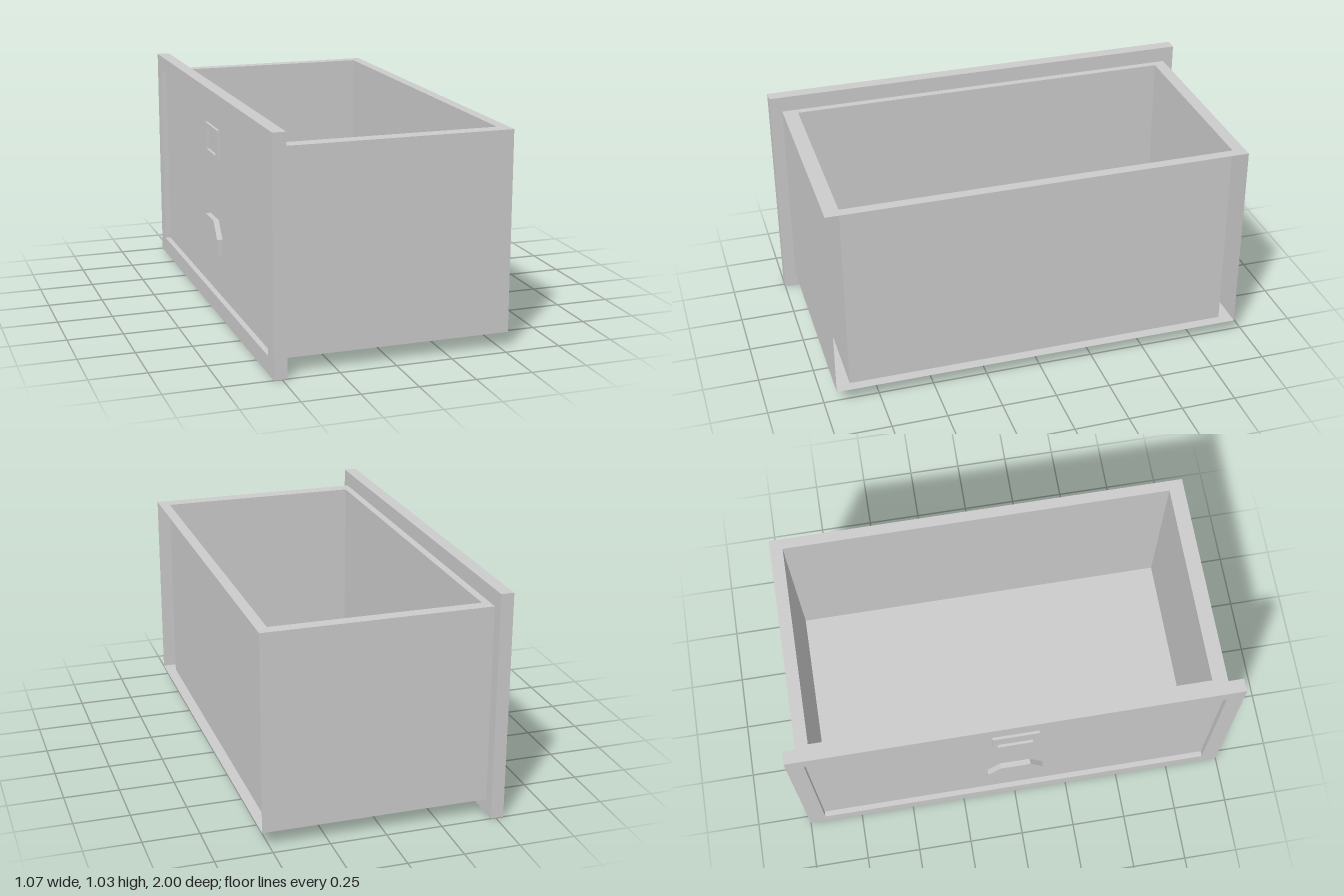
import * as THREE from 'three';

const material = new THREE.MeshStandardMaterial({ color: 0xcccccc, side: THREE.DoubleSide, flatShading: true });

// Rectangle path in a shape's own plane
function rect(Path, u0, v0, u1, v1) {
  return new Path([[u0, v0], [u1, v0], [u1, v1], [u0, v1]].map(([u, v]) => new THREE.Vector2(u, v)));
}

function add(parent, name, geometry) {
  const mesh = new THREE.Mesh(geometry, material);
  mesh.name = name;
  parent.add(mesh);
  return mesh;
}

// Thin sheet between two corners that share one coordinate
function sheet(parent, name, a, b) {
  const [x0, y0, z0] = a, [x1, y1, z1] = b;
  const g = new THREE.PlaneGeometry(1, 1);
  if (x0 === x1) g.rotateY(Math.PI / 2).scale(1, y1 - y0, z1 - z0);
  else if (y0 === y1) g.rotateX(-Math.PI / 2).scale(x1 - x0, 1, z1 - z0);
  else g.scale(x1 - x0, y1 - y0, 1);
  g.translate((x0 + x1) / 2, (y0 + y1) / 2, (z0 + z1) / 2);
  return add(parent, name, g);
}

// Outline drawn in (z, y), thickened along x from x0 to x1
function slab(parent, name, shape, x0, x1) {
  const g = new THREE.ExtrudeGeometry(shape, { depth: x1 - x0, bevelEnabled: false });
  g.rotateY(-Math.PI / 2).translate(x1, 0, 0);
  return add(parent, name, g);
}

export function createModel() {
  const model = new THREE.Group();
  model.name = 'drawer';

  // Drawer box: outer sheets, flat rim and inner walls, open at the back end
  const box = new THREE.Group();
  box.name = 'drawerBox';
  model.add(box);
  const bottom = 0.07, top = 0.96;
  const outer = { x0: -0.474, x1: 0.533, z0: -0.95, z1: 0.945 };
  const inner = { x0: -0.44, x1: 0.485, z0: -0.893, z1: 0.877 };
  for (const [name, z] of [['rightSide', outer.z0], ['leftSide', outer.z1]])
    sheet(box, name, [outer.x0, bottom, z], [outer.x1, top, z]);
  sheet(box, 'bottom', [outer.x0, bottom, outer.z0], [outer.x1, bottom, outer.z1]);
  for (const [name, z] of [['innerRightWall', inner.z0], ['innerLeftWall', inner.z1]])
    sheet(box, name, [inner.x0, bottom, z], [inner.x1, top, z]);
  for (const [name, x] of [['innerFrontWall', inner.x0], ['innerBackWall', inner.x1]])
    sheet(box, name, [x, bottom, inner.z0], [x, top, inner.z1]);
  const rim = rect(THREE.Shape, outer.x0, -outer.z1, outer.x1, -outer.z0);
  rim.holes.push(rect(THREE.Path, inner.x0, -inner.z1, inner.x1, -inner.z0));
  add(box, 'rim', new THREE.ShapeGeometry(rim).rotateX(-Math.PI / 2).translate(0, top, 0));

  // Face: raised border around a recessed panel
  const face = new THREE.Group();
  face.name = 'drawerFace';
  model.add(face);
  const front = -0.535, panel = -0.51;
  const border = rect(THREE.Shape, -1, 0, 1, 1.03);
  border.holes.push(rect(THREE.Path, -0.922, 0.078, 0.922, 0.955));
  slab(face, 'faceBorder', border, front, -0.477);
  sheet(face, 'facePanel', [panel, 0.078, -0.922], [panel, 0.955, 0.922]);

  // Label holder
  const holder = rect(THREE.Shape, -0.105, 0.71, 0.105, 0.855);
  holder.holes.push(rect(THREE.Path, -0.08, 0.733, 0.08, 0.832));
  slab(face, 'labelHolder', holder, panel - 0.012, panel);

  // Pull handle with clipped upper corners
  const pull = new THREE.Shape([
    [-0.13, 0.275], [0.13, 0.275], [0.13, 0.355], [0.07, 0.43], [-0.07, 0.43], [-0.13, 0.355],
  ].map(([z, y]) => new THREE.Vector2(z, y)));
  slab(face, 'pullHandle', pull, front, panel);

  return model;
}
